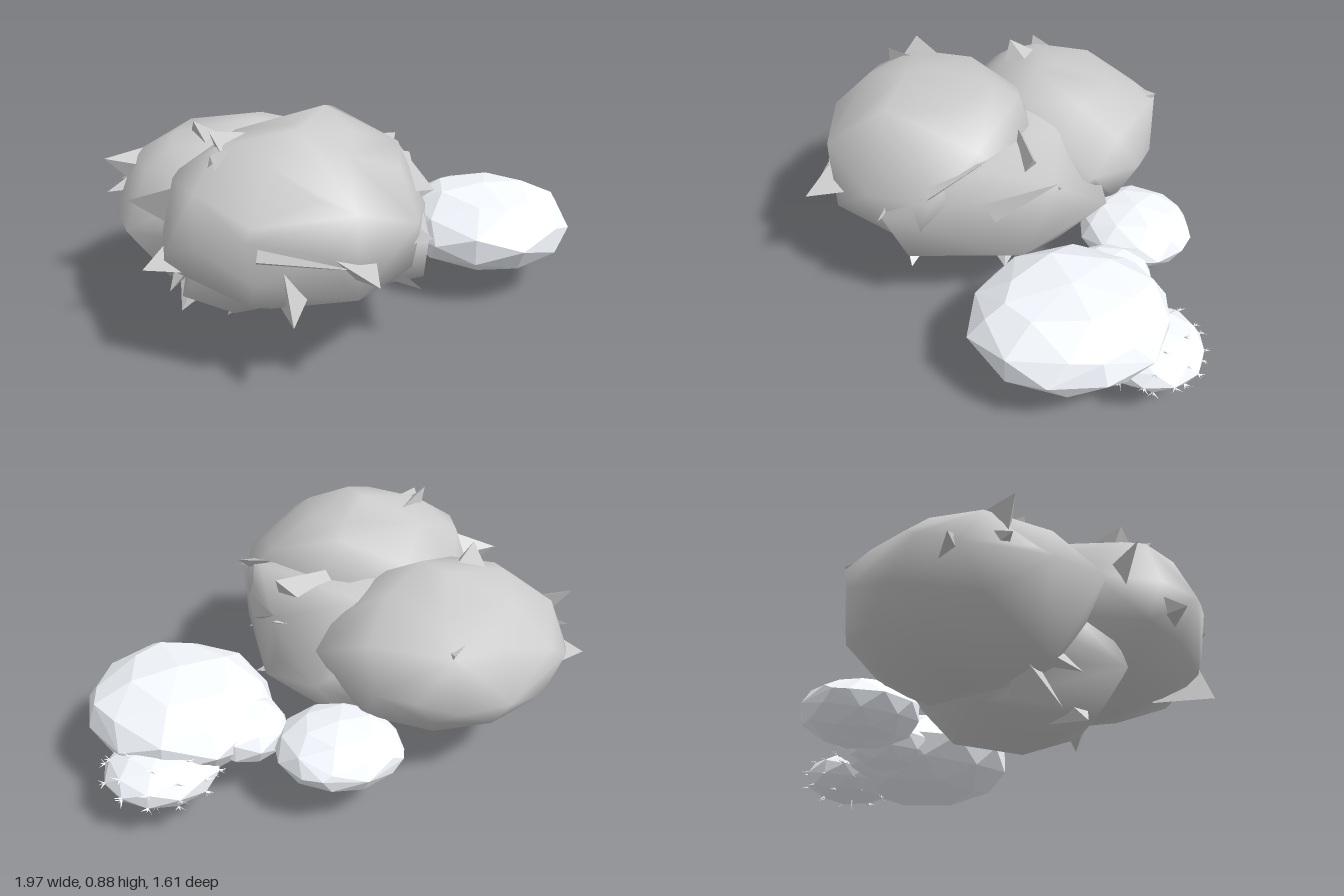
import * as THREE from 'three';
import { mergeVertices } from 'three/addons/utils/BufferGeometryUtils.js';
import { ConvexGeometry } from 'three/addons/geometries/ConvexGeometry.js';

const V = (p) => new THREE.Vector3(...p);

// Low icosphere fitted to an ellipsoid, pulled out to a few bulge points as a convex hull
function blobGeometry(center, radii, bulges) {
  const p = new THREE.IcosahedronGeometry(1, 1).attributes.position;
  const points = bulges.map(V);
  for (let i = 0; i < p.count; i++) {
    points.push(new THREE.Vector3().fromBufferAttribute(p, i).multiply(V(radii)).add(V(center)));
  }
  let g = new ConvexGeometry(points);
  g.deleteAttribute('normal');
  g = mergeVertices(g, 1e-4);
  g.computeVertexNormals();
  return g;
}

// Pointed leaf: three-sided spike from a sunken base to its tip
function leafGeometry(base, tip, width, twist) {
  const dir = tip.clone().sub(base);
  const g = new THREE.ConeGeometry(width, dir.length(), 3, 1, true);
  g.scale(1, 1, 0.45);
  g.translate(0, dir.length() / 2, 0);
  g.rotateY(twist);
  g.applyQuaternion(new THREE.Quaternion().setFromUnitVectors(new THREE.Vector3(0, 1, 0), dir.normalize()));
  g.translate(base.x, base.y, base.z);
  return g;
}

export function createModel() {
  const model = new THREE.Group();
  const leafMat = new THREE.MeshStandardMaterial({ color: 0xcccccc, side: THREE.DoubleSide });
  const leafFlat = new THREE.MeshStandardMaterial({ color: 0xcccccc, side: THREE.DoubleSide, flatShading: true });
  const paleMat = new THREE.MeshStandardMaterial({ color: 0xf5f9ff, side: THREE.DoubleSide, flatShading: true });
  const add = (parent, name, geometry, material) => {
    const mesh = new THREE.Mesh(geometry, material);
    mesh.name = name;
    parent.add(mesh);
  };

  // Smooth dark foliage masses: centre, radii, bulge points
  const foliage = new THREE.Group();
  foliage.name = 'foliage';
  model.add(foliage);
  const masses = [
    ['frontFoliage', [-0.39, 0.54, 0.22], [0.48, 0.34, 0.45], [
      [-0.28, 0.68, 0.68], [-0.28, 0.36, 0.67], [-0.66, 0.6, 0.59], [-0.64, 0.34, 0.55],
      [-0.02, 0.58, 0.58], [-0.37, 0.89, 0.32], [-0.65, 0.83, 0.22], [-0.18, 0.88, 0],
      [-0.12, 0.85, -0.08], [-0.89, 0.5, 0.36], [-0.87, 0.36, 0.15], [-0.82, 0.72, 0.2],
      [0.1, 0.56, 0.36], [0.07, 0.75, 0.15], [0.06, 0.35, 0.42], [-0.43, 0.18, 0.27],
    ]],
    ['backFoliage', [-0.45, 0.46, -0.36], [0.51, 0.31, 0.43], [
      [-0.47, 0.43, -0.81], [-0.79, 0.5, -0.7], [-0.88, 0.48, -0.55], [-0.98, 0.43, -0.3],
      [-0.97, 0.42, -0.09], [-0.25, 0.64, -0.75], [-0.4, 0.78, -0.25], [0, 0.5, -0.52],
      [-0.13, 0.45, -0.69], [-0.4, 0.3, -0.66], [-0.65, 0.38, -0.75], [-0.3, 0.39, -0.75],
      [-0.8, 0.15, -0.2], [-0.5, 0.13, -0.42], [-0.75, 0.7, -0.25], [0.1, 0.54, -0.33],
    ]],
    ['middleFoliage', [-0.28, 0.4, -0.06], [0.44, 0.32, 0.42], [
      [0.06, 0.3, 0.45], [0.04, 0.5, 0.54], [0.12, 0.7, 0.15], [0.19, 0.6, -0.13],
      [0.17, 0.27, 0], [0.19, 0.45, -0.18], [0.13, 0.42, -0.38], [-0.26, 0.04, -0.01],
      [-0.6, 0.09, 0.1], [-0.1, 0.1, -0.22], [-0.8, 0.2, 0.1],
    ]],
  ];
  masses.forEach(([name, c, r, bulges]) => add(foliage, name, blobGeometry(c, r, bulges), leafMat));

  // Leaves: tip position and half width, each rooted inside the nearest mass
  const leaves = [
    [-0.25, 0.46, 0.8, 0.16], [-0.53, 0.32, 0.72, 0.2], [-0.97, 0.6, 0.05, 0.15],
    [-0.96, 0.4, 0.25, 0.15], [-0.92, 0.45, -0.65, 0.14], [-1.0, 0.61, -0.45, 0.15],
    [-0.77, 0.01, -0.15, 0.15], [0.14, 0.72, -0.05, 0.2], [-0.68, 0.88, 0.2, 0.2],
    [0.2, 0.6, -0.15, 0.16], [-0.24, 0.66, -0.75, 0.17], [-0.66, 0.8, -0.22, 0.18],
    [-0.62, 0.06, 0.05, 0.16], [0.18, 0.24, 0.08, 0.13], [-0.82, 0.13, -0.1, 0.14],
    [0.06, 0.24, 0.44, 0.13], [0.05, 0.5, 0.56, 0.13],
  ];
  leaves.forEach(([x, y, z, w], i) => {
    const tip = V([x, y, z]);
    const root = masses.map((m) => V(m[1])).sort((a, b) => a.distanceTo(tip) - b.distanceTo(tip))[0];
    const base = tip.clone().lerp(root, 0.42);
    add(foliage, 'leaf', leafGeometry(base, tip, w, i * 1.3), leafFlat);
  });

  // Leaves lying against the surface: base, tip and half width
  const flatLeaves = [
    [[-0.62, 0.54, 0.6], [-0.3, 0.49, 0.7], 0.04],
    [[-0.7, 0.76, 0.3], [-0.2, 0.88, 0.02], 0.08],
    [[0.14, 0.5, 0.12], [0.19, 0.62, -0.14], 0.09],
    [[0.06, 0.6, 0.36], [0.09, 0.72, 0.12], 0.08],
    [[-0.85, 0.5, -0.45], [-1.0, 0.46, -0.46], 0.06],
  ];
  flatLeaves.forEach(([a, b, w], i) => add(foliage, 'flatLeaf', leafGeometry(V(a), V(b), w, i), leafFlat));

  // Pale faceted clumps
  const clumps = new THREE.Group();
  clumps.name = 'paleClumps';
  model.add(clumps);
  const clumpParts = [
    ['largeClump', [0.56, 0.27, -0.06], [0.37, 0.175, 0.4], [
      [0.36, 0.43, -0.05], [0.75, 0.43, -0.06], [0.9, 0.36, -0.05], [0.55, 0.41, 0.2],
      [0.55, 0.28, 0.35], [0.57, 0.38, -0.35],
    ]],
    ['backClump', [0.1, 0.235, -0.53], [0.25, 0.115, 0.24], [[-0.08, 0.24, -0.71], [0.26, 0.25, -0.72]]],
    ['bridgeClump', [0.39, 0.25, -0.28], [0.18, 0.11, 0.19], []],
    ['smallClump', [0.73, 0.195, -0.32], [0.22, 0.095, 0.21], []],
  ];
  clumpParts.forEach(([name, c, r, bulges]) => add(clumps, name, blobGeometry(c, r, bulges), paleMat));

  // Tiny three-way thorns on the corners of the small clump
  const small = clumps.getObjectByName('smallClump').geometry.attributes.position;
  const center = V([0.73, 0.195, -0.32]);
  const corner = new THREE.Vector3();
  for (let i = 0; i < small.count; i++) {
    corner.fromBufferAttribute(small, i);
    const out = corner.clone().sub(center).normalize();
    const side = new THREE.Vector3(-out.z, 0.3, out.x).normalize();
    for (const k of [-0.9, 0, 0.9]) {
      const tip = corner.clone().addScaledVector(out, 0.022).addScaledVector(side, k * 0.025);
      add(clumps, 'thorn', leafGeometry(corner, tip, 0.005, k), paleMat);
    }
  }
  return model;
}
